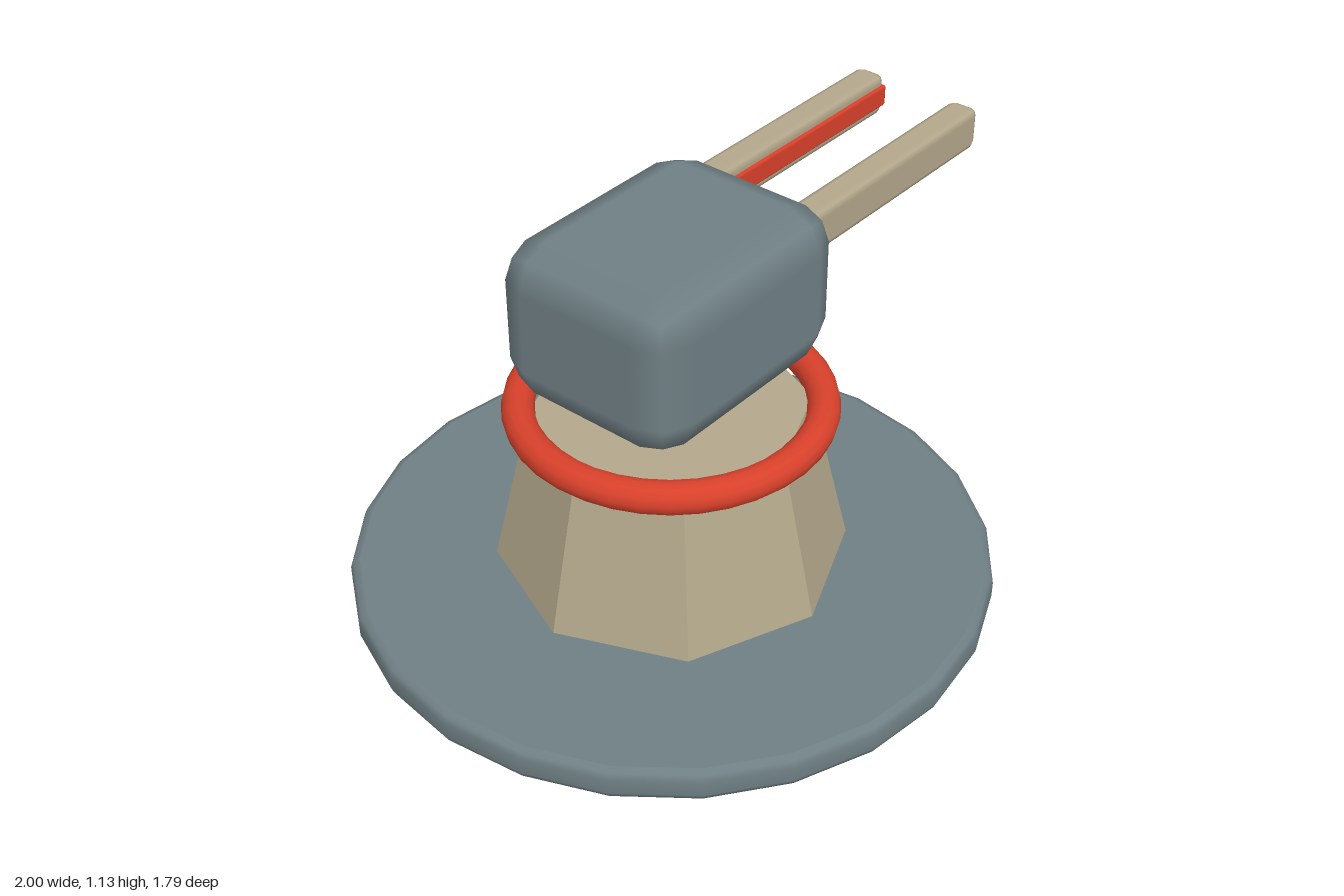
import * as THREE from 'three';
import { RoundedBoxGeometry } from 'three/addons/geometries/RoundedBoxGeometry.js';

const mat = (name, color) => {
  const m = new THREE.MeshStandardMaterial({ color });
  m.name = name;
  return m;
};

export function createModel() {
  const slate = mat('slate', 0x6f7f84);
  const sand = mat('sand', 0xb3a78b);
  const red = mat('red', 0xd8412b);
  const sandFaceted = sand;

  const model = new THREE.Group();
  model.name = 'turret';
  const CX = -0.105; // axis of the base, pedestal and ring

  const add = (name, geometry, material, x, y, z) => {
    const mesh = new THREE.Mesh(geometry, material);
    mesh.name = name;
    mesh.position.set(x, y, z);
    model.add(mesh);
    return mesh;
  };

  // Round base plate with a softened rim; doubled points keep the faces flat
  const R = 0.895, H = 0.095, b = 0.025;
  const rim = [
    [0, 0], [R - b - 0.002, 0], [R - b, 0], [R - b * 0.3, b * 0.3], [R, b],
    [R, H - b], [R - b * 0.3, H - b * 0.3], [R - b, H], [R - b - 0.002, H], [0, H],
  ].map(([x, y]) => new THREE.Vector2(x, y));
  add('basePlate', new THREE.LatheGeometry(rim, 24), slate, CX, 0, 0);

  // Eight-sided tapered pedestal, unshared corners for flat faces
  const pedestal = new THREE.CylinderGeometry(0.38, 0.49, 0.475, 8).toNonIndexed();
  pedestal.computeVertexNormals();
  add('pedestal', pedestal, sandFaceted, CX, 0.3325, 0);

  // Turning ring around the top of the pedestal
  const ring = new THREE.TorusGeometry(0.408, 0.045, 12, 36);
  ring.rotateX(Math.PI / 2);
  add('turningRing', ring, red, CX, 0.58, 0);

  // Gun housing with broad rounded edges
  add('housing', new RoundedBoxGeometry(0.725, 0.455, 0.58, 1, 0.11), slate, -0.1075, 0.9075, 0);

  // Twin barrels, each with a strip on its inner side
  for (const [side, s] of [['left', -1], ['right', 1]]) {
    add(side + 'Barrel', new RoundedBoxGeometry(0.85, 0.125, 0.09, 1, 0.022), sand, 0.57, 1.0125, s * 0.161);
    add(side + 'BarrelStrip', new RoundedBoxGeometry(0.84, 0.064, 0.022, 1, 0.007), red, 0.57, 1.0125, s * 0.117);
  }

  return model;
}
